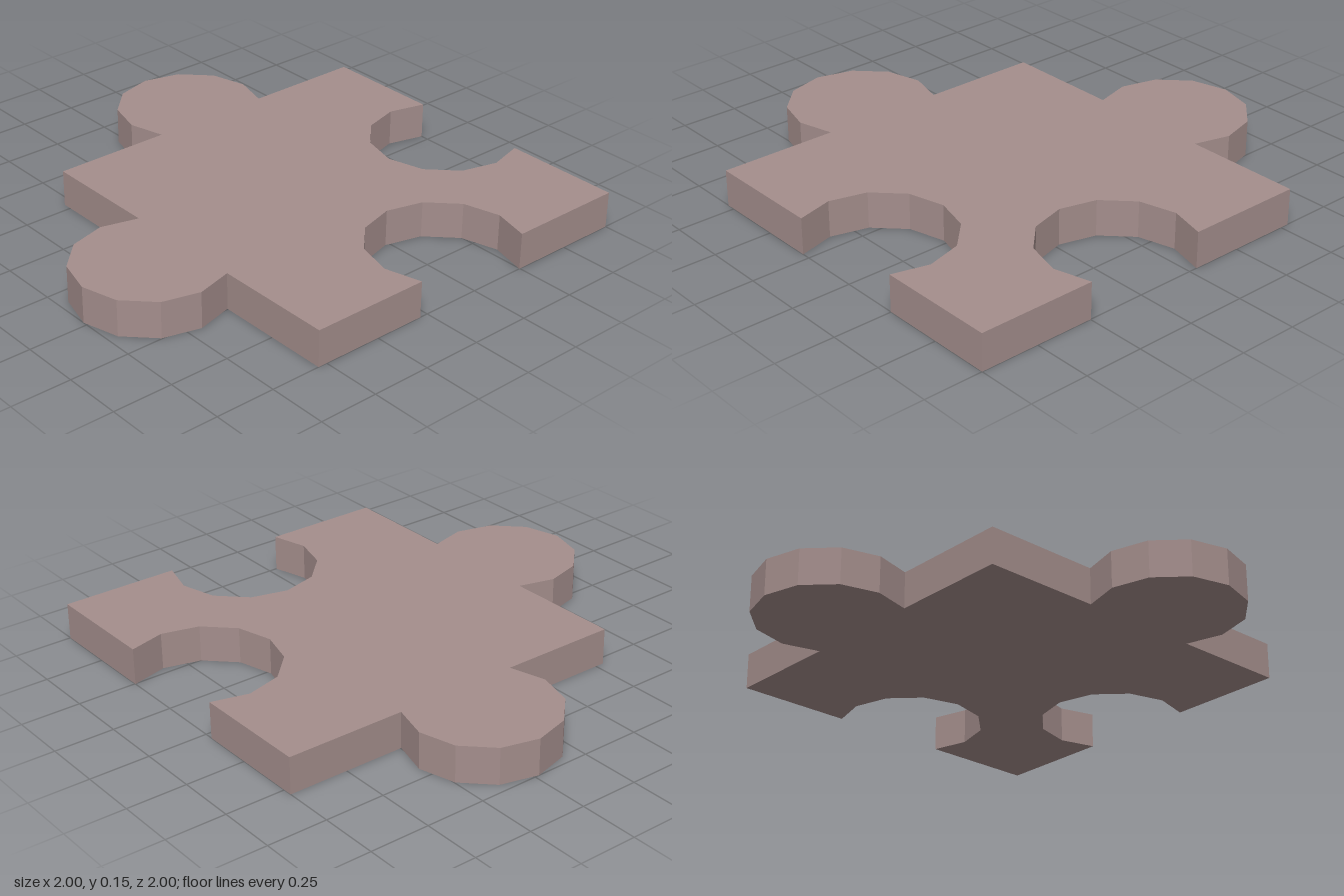
import * as THREE from 'three';

const U = 1 / 13;          // module unit: body is 20 x 20, knob radius 4, thickness 2
const HALF = 10 * U;
const RADIUS = 4 * U;
const THICKNESS = 2 * U;
const CENTRE = 3 * U;

// Outline, counter-clockwise: sides are right, back, left, front (+1 knob, -1 socket)
function pieceOutline(sides) {
  const points = [];
  sides.forEach((sign, k) => {
    const a = k * Math.PI / 2;
    const add = (out, along) => points.push(new THREE.Vector2(
      CENTRE + out * Math.cos(a) - along * Math.sin(a),
      -CENTRE + out * Math.sin(a) + along * Math.cos(a)));
    add(HALF, -HALF); // corner
    for (let deg = -120; deg <= 120; deg += 30) {
      const t = THREE.MathUtils.degToRad(deg);
      add(HALF + sign * RADIUS * (0.5 + Math.cos(t)), RADIUS * Math.sin(t));
    }
  });
  return new THREE.Shape(points);
}

export function createModel() {
  const group = new THREE.Group();
  group.name = 'jigsawPiece';

  // Flat slab with two knobs and two sockets
  const geometry = new THREE.ExtrudeGeometry(pieceOutline([-1, 1, 1, -1]), {
    depth: THICKNESS, bevelEnabled: false,
  });
  geometry.rotateX(-Math.PI / 2);
  const piece = new THREE.Mesh(geometry,
    new THREE.MeshStandardMaterial({ color: 0xa48e8c, flatShading: true }));
  piece.name = 'puzzlePiece';
  group.add(piece);
  return group;
}
